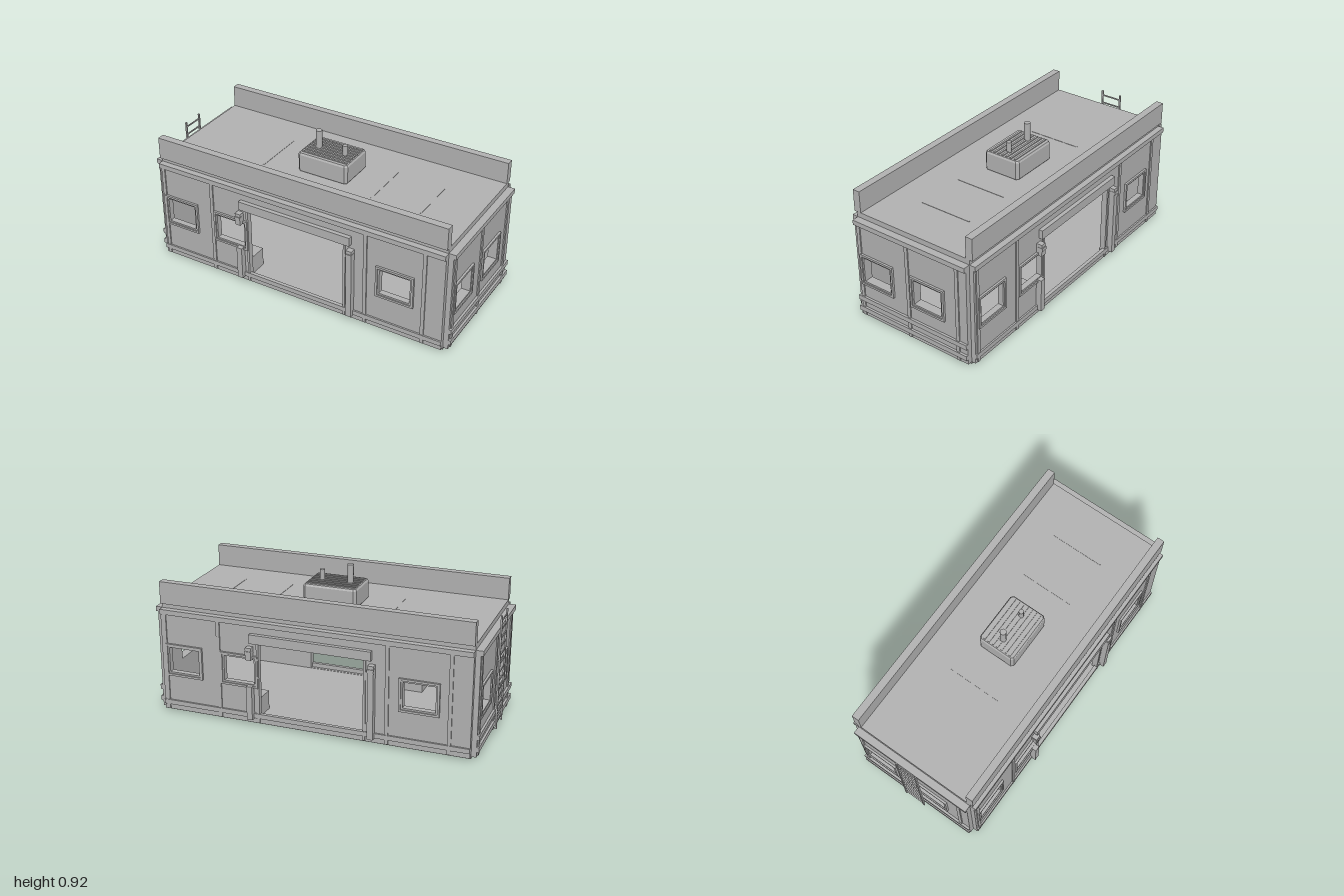
import * as THREE from 'three';

const CX = 0.0075;      // centre of the cabin body along x
const HALF_L = 0.9425;  // half length of the long walls
const HALF_D = 0.388;   // half width of the end walls
const WIN = { w: 0.19, h: 0.155, y: 0.338, rim: 0.023 };

const grey = new THREE.MeshStandardMaterial({ color: 0xb0b0b0 });
grey.name = 'grey metal';

function add(parent, name, geometry, x = 0, y = 0, z = 0) {
  const mesh = new THREE.Mesh(geometry, grey);
  mesh.name = name;
  mesh.position.set(x, y, z);
  parent.add(mesh);
  return mesh;
}

// Box given by its limits on each axis
function block(parent, name, x0, x1, y0, y1, z0, z1) {
  return add(parent, name, new THREE.BoxGeometry(x1 - x0, y1 - y0, z1 - z0),
    (x0 + x1) / 2, (y0 + y1) / 2, (z0 + z1) / 2);
}

function trace(path, x0, x1, y0, y1) {
  path.moveTo(x0, y0);
  path.lineTo(x1, y0);
  path.lineTo(x1, y1);
  path.lineTo(x0, y1);
  path.closePath();
  return path;
}

// Plate of a given outline with rectangular holes, extruded from z0 to z1
function plate(parent, name, outline, holes, z0, z1) {
  const shape = trace(new THREE.Shape(), ...outline);
  holes.forEach((h) => shape.holes.push(trace(new THREE.Path(), ...h)));
  const geometry = new THREE.ExtrudeGeometry(shape, { depth: z1 - z0, bevelEnabled: false });
  return add(parent, name, geometry, 0, 0, z0);
}

function windowRect(cx, grow = 0) {
  return [cx - WIN.w / 2 - grow, cx + WIN.w / 2 + grow,
    WIN.y - WIN.h / 2 - grow, WIN.y + WIN.h / 2 + grow];
}

// Raised two-step frame around a window
function windowFrame(parent, cx, z) {
  plate(parent, 'windowFrame', windowRect(cx, WIN.rim), [windowRect(cx, 0.01)], z - 0.01, z + 0.013);
  plate(parent, 'windowInnerFrame', windowRect(cx, 0.012), [windowRect(cx)], z - 0.02, z + 0.006);
}

// Long wall facing +z with door, windows, ribs and belts
function longWall() {
  const g = new THREE.Group();
  g.name = 'longWall';
  const front = 0.415;
  const windows = [-0.79, -0.435, 0.6525].map((x) => x - CX);
  const door = [-0.32, 0.32, 0.05, 0.52];
  plate(g, 'wallPanel', [-HALF_L, HALF_L, 0.015, 0.65],
    [door, ...windows.map((x) => windowRect(x))], 0.385, front);
  windows.forEach((x) => windowFrame(g, x, front));
  [-0.91, -0.565, 0.465, 0.83].forEach((x) =>
    block(g, 'wallRib', x - CX - 0.011, x - CX + 0.011, 0.02, 0.64, front - 0.01, front + 0.007));
  [-0.325, 0.325].forEach((x) =>
    block(g, 'doorJamb', x - 0.007, x + 0.007, 0.02, 0.52, front - 0.01, front + 0.007));
  block(g, 'topBelt', -HALF_L, HALF_L, 0.62, 0.65, front - 0.01, 0.427);
  block(g, 'lowBelt', -HALF_L, HALF_L, 0.048, 0.077, front - 0.012, 0.425);

  // Door surround: lintel, full post and a post interrupted by a window
  block(g, 'doorLintel', -0.368, 0.368, 0.52, 0.575, front - 0.01, 0.44);
  block(g, 'doorPost', 0.353, 0.388, 0.045, 0.495, front - 0.01, 0.45);
  block(g, 'doorPost', -0.388, -0.353, 0.045, 0.255, front - 0.01, 0.45);
  block(g, 'doorPost', -0.388, -0.353, 0.42, 0.495, front - 0.01, 0.45);
  [-0.3705, 0.3705].forEach((x) =>
    block(g, 'postCap', x - 0.019, x + 0.019, 0.455, 0.475, front, 0.455));

  block(g, 'parapet', -HALF_L, HALF_L, 0.68, 0.815, 0.365, 0.41);
  block(g, 'innerLocker', -0.46, -0.325, 0.04, 0.165, 0.27, 0.388);
  return g;
}

// End wall, built facing +z and turned to face +x
function endWall() {
  const g = new THREE.Group();
  g.name = 'endWall';
  const front = 0.972;
  const windows = [-0.24, 0.12];
  plate(g, 'wallPanel', [-HALF_D, HALF_D, 0.015, 0.65],
    windows.map((x) => windowRect(x)), HALF_L - 0.02, front);
  windows.forEach((x) => windowFrame(g, x, front));
  [-0.36, -0.018, 0.325].forEach((x) =>
    block(g, 'wallRib', x - 0.011, x + 0.011, 0.02, 0.645, front - 0.01, front + 0.007));
  [[0.62, 0.65], [0.12, 0.15], [0.047, 0.077]].forEach(([y0, y1]) =>
    block(g, 'endBelt', -HALF_D, HALF_D, y0, y1, front - 0.01, front + 0.014));
  g.rotation.y = Math.PI / 2;
  return g;
}

// Roof machine with chamfered casing, grille bars and two pipes
function roofUnit() {
  const g = new THREE.Group();
  g.name = 'roofUnit';
  const hx = 0.165, hz = 0.118, c = 0.012;
  const shape = new THREE.Shape();
  const corners = [[hx - c, -hz], [hx, c - hz], [hx, hz - c], [hx - c, hz],
    [c - hx, hz], [-hx, hz - c], [-hx, c - hz], [c - hx, -hz]];
  corners.forEach(([x, z], i) => (i ? shape.lineTo(x * 0.95, z * 0.95) : shape.moveTo(x * 0.95, z * 0.95)));
  shape.closePath();
  const casing = new THREE.ExtrudeGeometry(shape, {
    depth: 0.1, bevelThickness: 0.011, bevelSize: 0.007, bevelSegments: 1,
  });
  casing.rotateX(-Math.PI / 2);
  add(g, 'unitCasing', casing, 0, 0.691, 0);
  for (let i = -3; i <= 3; i++) {
    block(g, 'grilleBar', -0.15, 0.15, 0.8, 0.808, i * 0.029 - 0.006, i * 0.029 + 0.006);
  }
  add(g, 'tallPipe', new THREE.CylinderGeometry(0.019, 0.019, 0.125, 12), -0.088, 0.8525, 0);
  add(g, 'shortPipe', new THREE.CylinderGeometry(0.015, 0.015, 0.075, 12), 0.087, 0.8275, 0);
  return g;
}

// Ladder standing against the -x end
function ladder() {
  const g = new THREE.Group();
  g.name = 'ladder';
  [-0.065, 0.065].forEach((z) => block(g, 'ladderRail', -1, -0.99, 0.05, 0.74, z - 0.005, z + 0.005));
  for (let i = 0; i < 13; i++) {
    const y = 0.085 + i * 0.052;
    block(g, 'ladderRung', -0.998, -0.992, y - 0.004, y + 0.004, -0.065, 0.065);
  }
  return g;
}

export function createModel() {
  const model = new THREE.Group();
  model.name = 'cabin';

  // The two halves are the same, turned half a circle
  const body = new THREE.Group();
  body.name = 'body';
  body.position.x = CX;
  for (let i = 0; i < 2; i++) {
    const half = new THREE.Group();
    half.name = i ? 'backHalf' : 'frontHalf';
    half.add(longWall(), endWall());
    half.rotation.y = i * Math.PI;
    body.add(half);
  }
  block(body, 'floor', -HALF_L, HALF_L, 0, 0.048, -HALF_D, HALF_D);
  block(body, 'roof', -HALF_L, HALF_L, 0.645, 0.682, -0.39, 0.39);
  [-0.37, 0.35, 0.66].forEach((x) =>
    block(body, 'roofSeam', x - 0.004, x + 0.004, 0.68, 0.684, -0.165, 0.165));
  body.add(roofUnit());

  model.add(body, ladder());
  return model;
}
